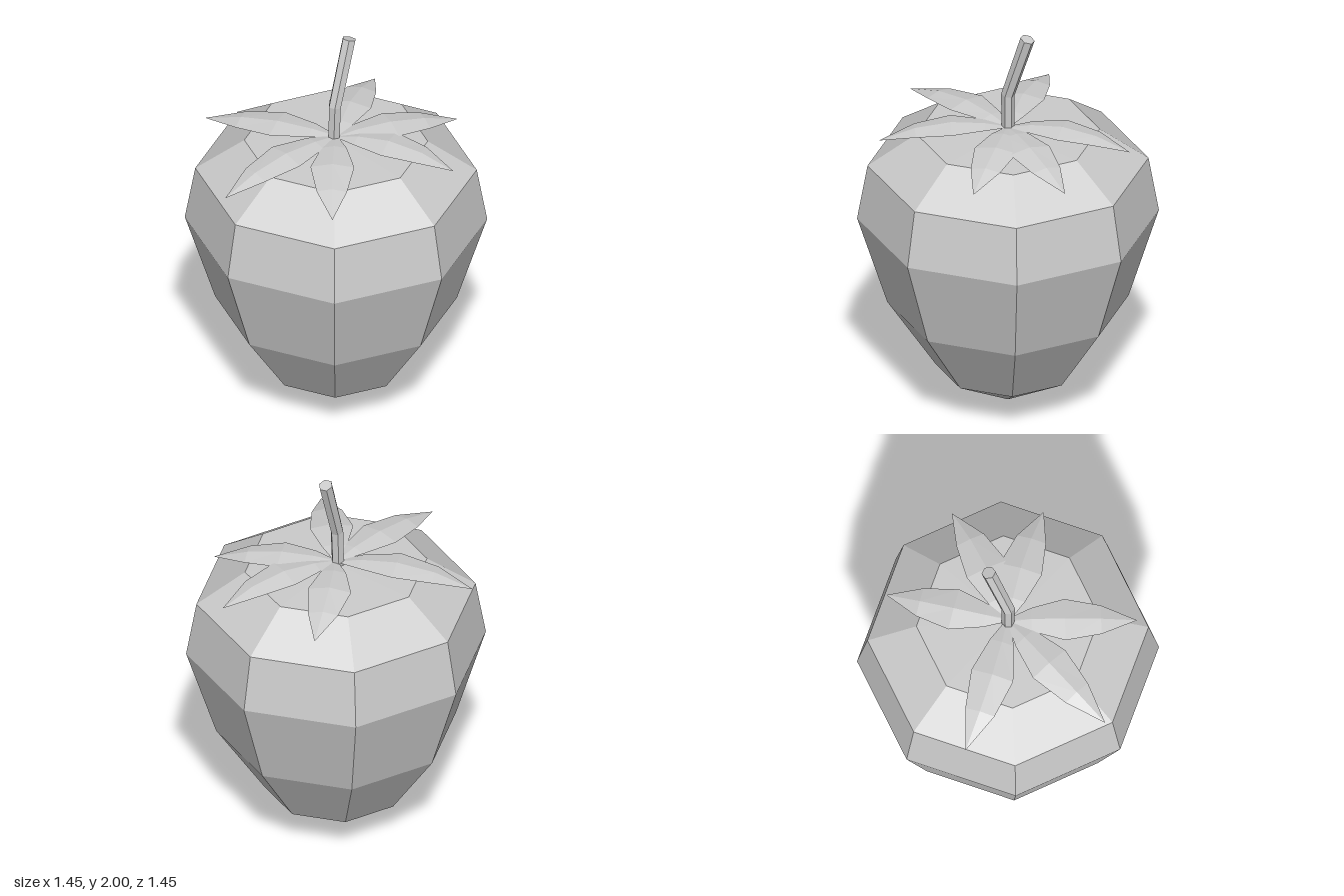
import * as THREE from 'three';

const grey = (side = THREE.FrontSide) =>
  new THREE.MeshStandardMaterial({ color: 0xcccccc, flatShading: true, side });

// Faceted fruit body: eight-sided lathe
function makeFruit() {
  const profile = [[0, 0], [0.345, 0.2], [0.58, 0.55], [0.725, 1.01], [0.675, 1.295], [0.44, 1.46], [0, 1.47]];
  const geo = new THREE.LatheGeometry(profile.map(([r, y]) => new THREE.Vector2(r, y)), 8);
  const mesh = new THREE.Mesh(geo, grey());
  mesh.name = 'fruit';
  return mesh;
}

// Leaf from cross-sections (left edge, raised midrib, right edge) running out to the tip
function makeLeaf(tipX, tipZ, bend) {
  const length = Math.hypot(tipX, tipZ);
  const dx = tipX / length, dz = tipZ / length;
  // fraction of length, half width, midrib height, edge drop
  const sections = [
    [0, 0.008, 1.485, 0], [0.18, 0.06, 1.505, 0.01], [0.44, 0.105, 1.512, 0.018],
    [0.72, 0.073, 1.485, 0.014], [1, 0, 1.425, 0],
  ];
  const positions = [], index = [];
  sections.forEach(([t, w, y, drop], i) => {
    for (const s of [-1, 0, 1]) {
      const along = t * length;
      const across = s * w + bend * Math.sin(t * Math.PI);
      positions.push(dx * along - dz * across, y - Math.abs(s) * drop, dz * along + dx * across);
    }
    if (i === 0) return;
    for (const j of [0, 1]) {
      const a = (i - 1) * 3 + j, b = a + 1, c = a + 3, d = a + 4;
      index.push(a, b, c);
      if (i < sections.length - 1) index.push(b, d, c);
      else if (j === 1) index[index.length - 1] = c;
    }
  });
  const geo = new THREE.BufferGeometry();
  geo.setAttribute('position', new THREE.Float32BufferAttribute(positions, 3));
  geo.setIndex(index);
  geo.computeVertexNormals();
  return new THREE.Mesh(geo, grey(THREE.DoubleSide));
}

// Crown of six leaves
function makeLeaves() {
  const group = new THREE.Group();
  group.name = 'leaves';
  const tips = [
    [0.18, -0.575, -0.015], [0.58, -0.24, 0.018], [0.565, 0.2, -0.015],
    [-0.01, 0.62, 0.01], [-0.525, 0.44, 0.01], [-0.63, -0.235, -0.015],
  ];
  tips.forEach((tip, i) => {
    const leaf = makeLeaf(...tip);
    leaf.name = `leaf${i + 1}`;
    group.add(leaf);
  });
  return group;
}

// Bent six-sided stem: each ring of a cylinder is moved onto the stem's path
function makeStem() {
  const geo = new THREE.CylinderGeometry(0.034, 0.031, 2, 6, 2);
  const path = [[-0.01, 1.46, 0], [-0.005, 1.66, 0], [0.062, 1.992, -0.09]];
  const lean = [[0, 0], [0.1, -0.13], [0.2, -0.27]];
  const p = geo.attributes.position;
  for (let i = 0; i < p.count; i++) {
    const k = Math.round(p.getY(i) + 1);
    const x = p.getX(i), z = p.getZ(i);
    p.setXYZ(i, path[k][0] + x, path[k][1] - x * lean[k][0] - z * lean[k][1], path[k][2] + z);
  }
  geo.computeVertexNormals();
  const mesh = new THREE.Mesh(geo, grey());
  mesh.name = 'stem';
  return mesh;
}

export function createModel() {
  const model = new THREE.Group();
  model.name = 'strawberry';
  model.add(makeFruit(), makeLeaves(), makeStem());
  return model;
}
